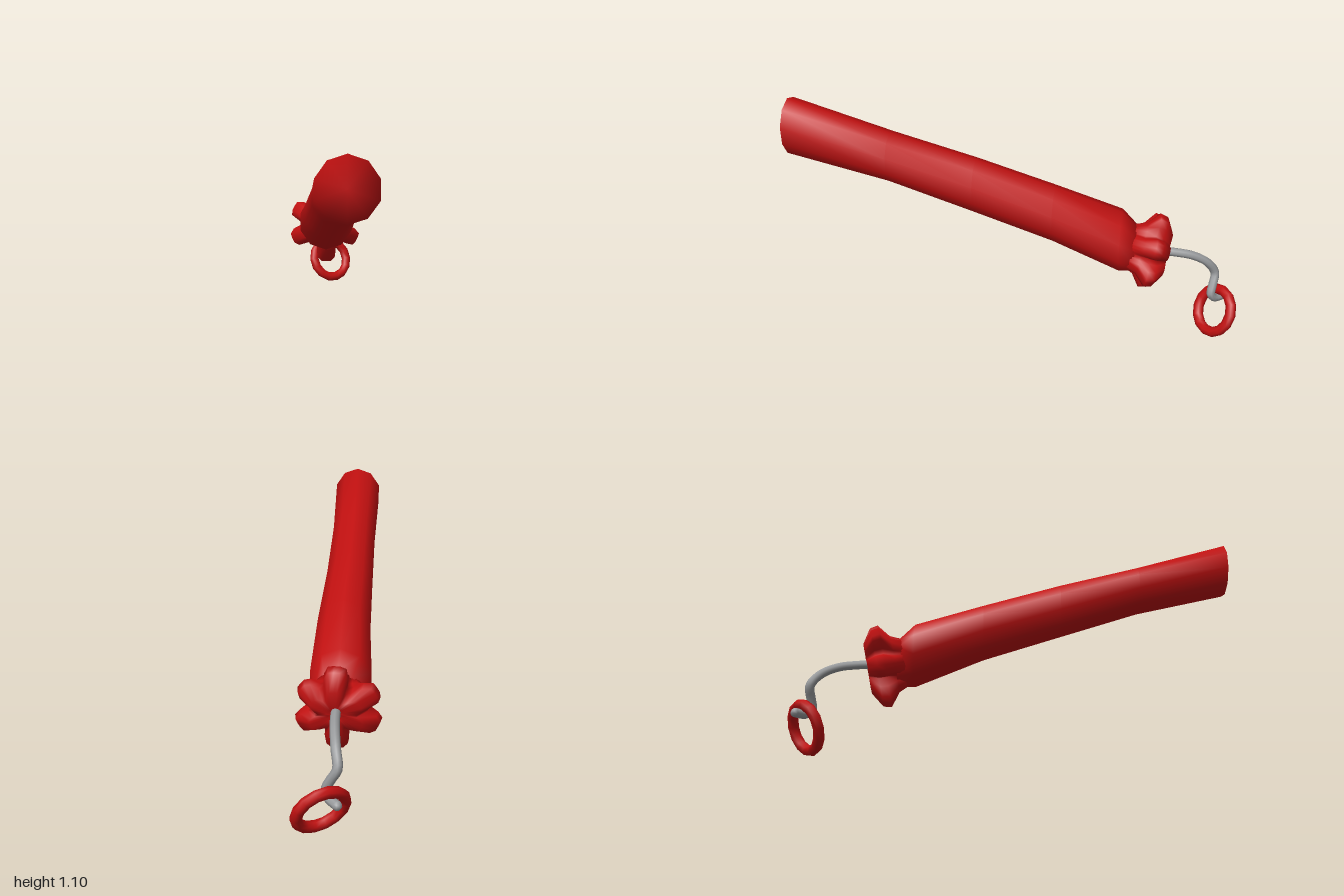
import * as THREE from 'three';

const V = (x, y, z) => new THREE.Vector3(x, y, z);

// Closed smooth skin over rings that run from the front (+z) to the back
function loft(rings) {
  const n = rings[0].length;
  const pts = rings.flat();
  const index = [];
  for (let i = 0; i < rings.length - 1; i++) {
    for (let j = 0; j < n; j++) {
      const a = i * n + j, b = i * n + (j + 1) % n;
      index.push(a, a + n, b, b, a + n, b + n);
    }
  }
  const middle = (ring) => ring.reduce((s, p) => s.add(p), V(0, 0, 0)).divideScalar(n);
  const front = pts.length, back = front + 1, last = (rings.length - 1) * n;
  const all = [...pts, middle(rings[0]), middle(rings[rings.length - 1])];
  for (let j = 0; j < n; j++) {
    const k = (j + 1) % n;
    index.push(front, j, k, back, last + k, last + j);
  }
  const geo = new THREE.BufferGeometry().setFromPoints(all);
  geo.setIndex(index);
  geo.computeVertexNormals();
  return geo;
}

function add(group, name, geo, material) {
  const mesh = new THREE.Mesh(geo, material);
  mesh.name = name;
  group.add(mesh);
  return mesh;
}

export function createModel() {
  const group = new THREE.Group();
  group.name = 'stickWithRing';
  const red = new THREE.MeshStandardMaterial({ color: 0xc01010 });
  red.name = 'red';
  const grey = new THREE.MeshStandardMaterial({ color: 0x9a9c9e });
  grey.name = 'grey';

  // Slightly bent ten-sided stick: z, centre x, centre y, half width, half height
  const sections = [
    [1.0, 0.093, 0.983, 0.119, 0.125],
    [0.57, 0.052, 0.845, 0.108, 0.112],
    [0.2, 0.02, 0.715, 0.111, 0.125],
    [-0.15, -0.005, 0.588, 0.121, 0.128],
    [-0.45, -0.037, 0.456, 0.134, 0.144],
    [-0.52, -0.036, 0.42, 0.1, 0.11],
  ];
  const body = sections.map(([z, cx, cy, rx, ry]) =>
    Array.from({ length: 10 }, (_, j) => {
      const t = Math.PI / 2 + (j / 10) * Math.PI * 2;
      return V(cx + rx * Math.cos(t), cy + ry * Math.sin(t), z);
    }));
  add(group, 'body', loft(body), red);

  // Gathered end that flares into uneven lobes: angle in degrees, size
  const lobes = [[270, 1], [335, 0.85], [38, 0.85], [92, 1], [152, 1], [203, 1]];
  const lobeAt = (deg) => {
    let best = 0;
    for (const [a, size] of lobes) {
      const d = Math.abs(((deg - a + 540) % 360) - 180);
      const w = THREE.MathUtils.clamp((30 - d) / 18, 0, 1);
      best = Math.max(best, w * size);
    }
    return best;
  };
  const axis = V(-0.05, -0.22, -0.97).normalize();
  const side = V(1, 0, 0).addScaledVector(axis, -axis.x).normalize();
  const up = axis.clone().negate().cross(side);
  // Distance along the axis, radius in the valleys, radius on the lobes
  const flare = [
    [-0.02, 0.1, 0.1], [0.04, 0.09, 0.13], [0.085, 0.085, 0.19],
    [0.12, 0.085, 0.182], [0.16, 0.065, 0.115], [0.15, 0.03, 0.03],
  ].map(([s, valley, peak]) =>
    Array.from({ length: 48 }, (_, j) => {
      const t = (j / 48) * Math.PI * 2;
      const r = valley + (peak - valley) * lobeAt(j * 7.5);
      return V(-0.035, 0.425, -0.5).addScaledVector(axis, s)
        .addScaledVector(side, r * Math.cos(t)).addScaledVector(up, r * Math.sin(t));
    }));
  add(group, 'gatheredEnd', loft(flare), red);

  // Curled wire hook
  const wire = new THREE.CatmullRomCurve3([
    V(-0.045, 0.41, -0.62), V(-0.053, 0.402, -0.7), V(-0.065, 0.385, -0.78),
    V(-0.08, 0.345, -0.85), V(-0.092, 0.285, -0.89), V(-0.065, 0.235, -0.885),
    V(-0.047, 0.195, -0.88), V(-0.06, 0.168, -0.9), V(-0.098, 0.16, -0.94),
  ]);
  add(group, 'hook', new THREE.TubeGeometry(wire, 32, 0.02, 8), grey);
  const tip = add(group, 'hookTip', new THREE.SphereGeometry(0.02, 8, 6), grey);
  tip.position.copy(wire.getPoint(1));

  // Pull ring hanging on the hook
  const ring = add(group, 'ring', new THREE.TorusGeometry(0.102, 0.024, 8, 14), red);
  ring.quaternion.setFromUnitVectors(V(0, 0, 1), V(0.52, 0.44, 0.73).normalize());
  ring.position.set(-0.03, 0.117, -0.903);

  return group;
}
